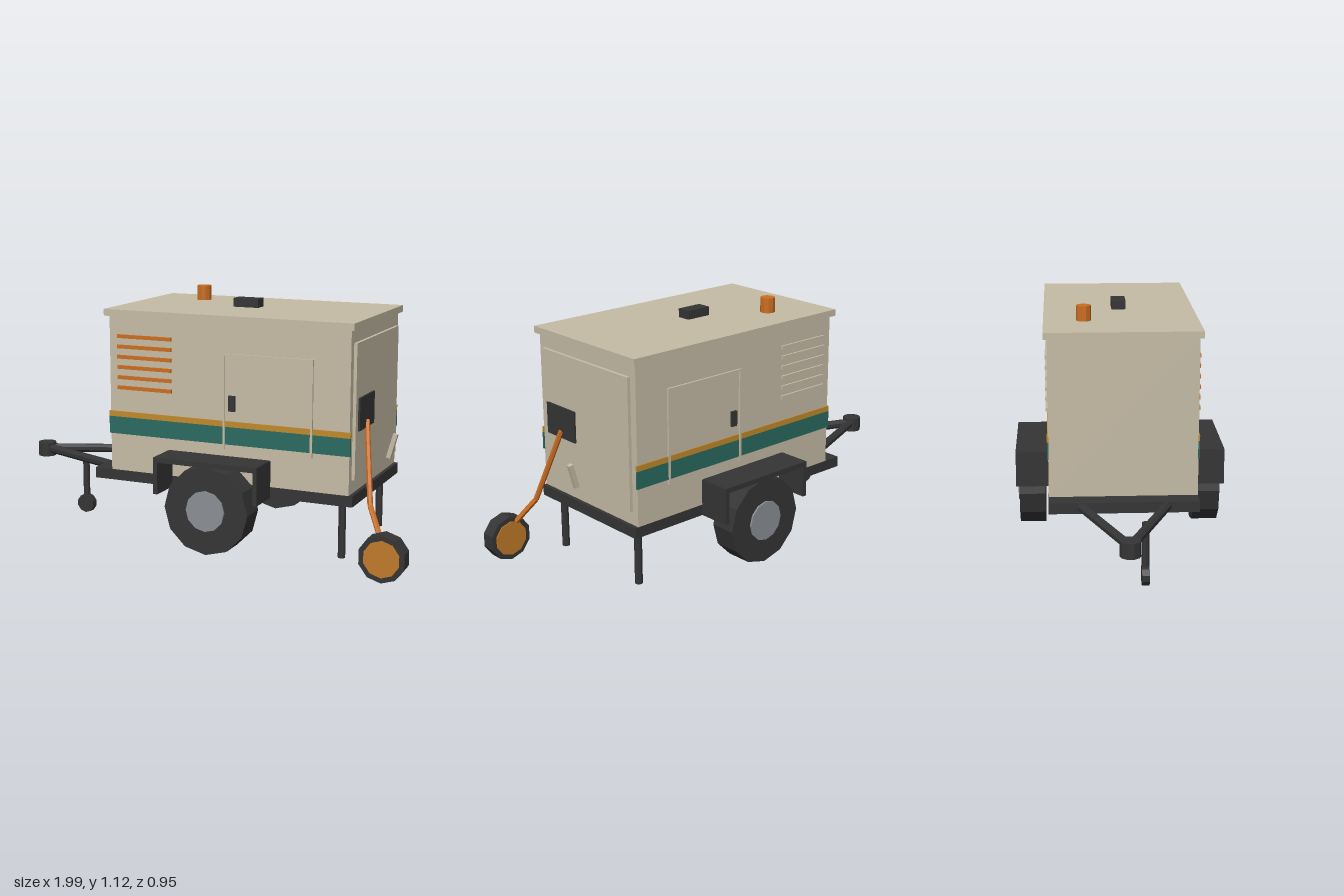
import * as THREE from 'three';

const mat = (name, color) => {
  const m = new THREE.MeshStandardMaterial({ color, flatShading: true });
  m.name = name;
  return m;
};

export function createModel() {
  const beige = mat('beige paint', 0xc6bca6);
  const dark = mat('dark steel', 0x353535);
  const orange = mat('orange', 0xcb6e20);
  const ochre = mat('ochre', 0xc08a2c);
  const amber = mat('amber', 0xc07a2a);
  const teal = mat('teal', 0x2a6a60);
  const grey = mat('hub grey', 0x8b8f96);

  const model = new THREE.Group();
  model.name = 'trailerGenerator';

  const add = (name, geo, material, parent = model) => {
    const mesh = new THREE.Mesh(geo, material);
    mesh.name = name;
    parent.add(mesh);
    return mesh;
  };
  // Box given by its limits on each axis
  const box = (name, m, x0, x1, y0, y1, z0, z1, parent) => {
    const mesh = add(name, new THREE.BoxGeometry(x1 - x0, y1 - y0, z1 - z0), m, parent);
    mesh.position.set((x0 + x1) / 2, (y0 + y1) / 2, (z0 + z1) / 2);
    return mesh;
  };
  // Round bar between two points
  const rod = (name, m, a, b, r, sides = 8) => {
    const p = new THREE.Vector3(...a), q = new THREE.Vector3(...b);
    const d = q.clone().sub(p);
    const mesh = add(name, new THREE.CylinderGeometry(r, r, d.length(), sides), m);
    mesh.position.copy(p).add(q).multiplyScalar(0.5);
    mesh.quaternion.setFromUnitVectors(new THREE.Vector3(0, 1, 0), d.normalize());
    return mesh;
  };
  // Disc with its axis along z
  const disc = (name, m, x, y, z0, z1, r, sides) => {
    const geo = new THREE.CylinderGeometry(r, r, Math.abs(z1 - z0), sides).rotateX(Math.PI / 2);
    const mesh = add(name, geo, m);
    mesh.position.set(x, y, (z0 + z1) / 2);
    return mesh;
  };

  // Chassis, housing and roof
  box('chassis', dark, -0.495, 0.735, 0.28, 0.328, -0.325, 0.325);
  box('housing', beige, -0.41, 0.718, 0.328, 1.028, -0.324, 0.324);
  box('roof', beige, -0.43, 0.735, 1.028, 1.058, -0.34, 0.34);
  box('roofLiftingBlock', dark, 0.06, 0.18, 1.058, 1.097, -0.032, 0.032);
  rod('exhaustStack', orange, [-0.175, 1.055, -0.163], [-0.175, 1.125, -0.163], 0.033, 10);

  // Both long sides: stripes, louvres, door, fender and wheel
  for (const s of [1, -1]) {
    const side = new THREE.Group();
    side.name = s > 0 ? 'frontSide' : 'backSide';
    model.add(side);
    const plate = (name, m, x0, x1, y0, y1, depth, z0 = 0.322) =>
      box(name, m, x0, x1, y0, y1, s > 0 ? z0 : -depth, s > 0 ? depth : -z0, side);

    plate('tealStripe', teal, -0.416, 0.724, 0.497, 0.575, 0.329);
    plate('ochreStripe', ochre, -0.416, 0.724, 0.575, 0.6, 0.329);
    for (let i = 0; i < 6; i++) {
      const y = 0.709 + i * 0.046;
      plate('louvre', s > 0 ? orange : beige, -0.37, -0.105, y - 0.008, y + 0.008, 0.333);
    }
    for (const x of [0.147, 0.55]) plate('doorFramePost', beige, x - 0.005, x + 0.005, 0.475, 0.895, 0.333);
    plate('doorFrameTop', beige, 0.142, 0.555, 0.885, 0.895, 0.333);
    plate('doorHandle', dark, 0.17, 0.2, 0.645, 0.713, 0.335);

    // Fender: top plate with an end plate at each side
    plate('fenderTop', dark, -0.12, 0.36, 0.422, 0.445, 0.474, 0.324);
    plate('fenderEnd', dark, -0.124, -0.104, 0.28, 0.443, 0.474, 0.324);
    plate('fenderEnd', dark, 0.344, 0.364, 0.28, 0.443, 0.474, 0.324);

    disc('tyre', dark, 0.12, 0.227, s * 0.342, s * 0.461, 0.196, 12);
    disc('wheelHub', grey, 0.12, 0.227, s * 0.342, s * 0.469, 0.09, 12);

    // Rear support legs and drawbar arms
    rod('supportLeg', dark, [0.67, 0.035, s * 0.26], [0.67, 0.29, s * 0.26], 0.017);
    rod('drawbarArm', dark, [-0.47, 0.306, s * 0.19], [-0.95, 0.306, 0], 0.021);
  }
  rod('axle', dark, [0.12, 0.227, -0.35], [0.12, 0.227, 0.35], 0.02);

  // Coupling and jockey wheel
  rod('couplingHead', dark, [-0.955, 0.27, 0], [-0.955, 0.336, 0], 0.044, 10);
  rod('jockeyPost', dark, [-0.69, 0.075, 0.078], [-0.69, 0.31, 0.078], 0.016);
  disc('jockeyWheel', dark, -0.69, 0.075, 0.062, 0.094, 0.044, 10);

  // Service end: access panel, control box and lever
  box('endPanel', beige, 0.716, 0.732, 0.388, 0.97, -0.29, 0.29);
  box('controlPanel', dark, 0.73, 0.741, 0.595, 0.735, 0.068, 0.262);
  const lever = box('lever', beige, 0.794, 0.814, 0.427, 0.539, -0.01, 0.01);
  lever.rotation.z = -0.27;

  // Cable running down to its reel
  const path = [[0.74, 0.627, 0.163], [0.802, 0.288, 0.288], [0.868, 0.18, 0.355]];
  for (let i = 0; i < 2; i++) rod('cable', orange, path[i], path[i + 1], 0.012, 6);
  disc('reelRim', dark, 0.898, 0.105, 0.359, 0.425, 0.103, 10);
  disc('reelFace', amber, 0.898, 0.105, 0.354, 0.428, 0.08, 10);

  return model;
}
